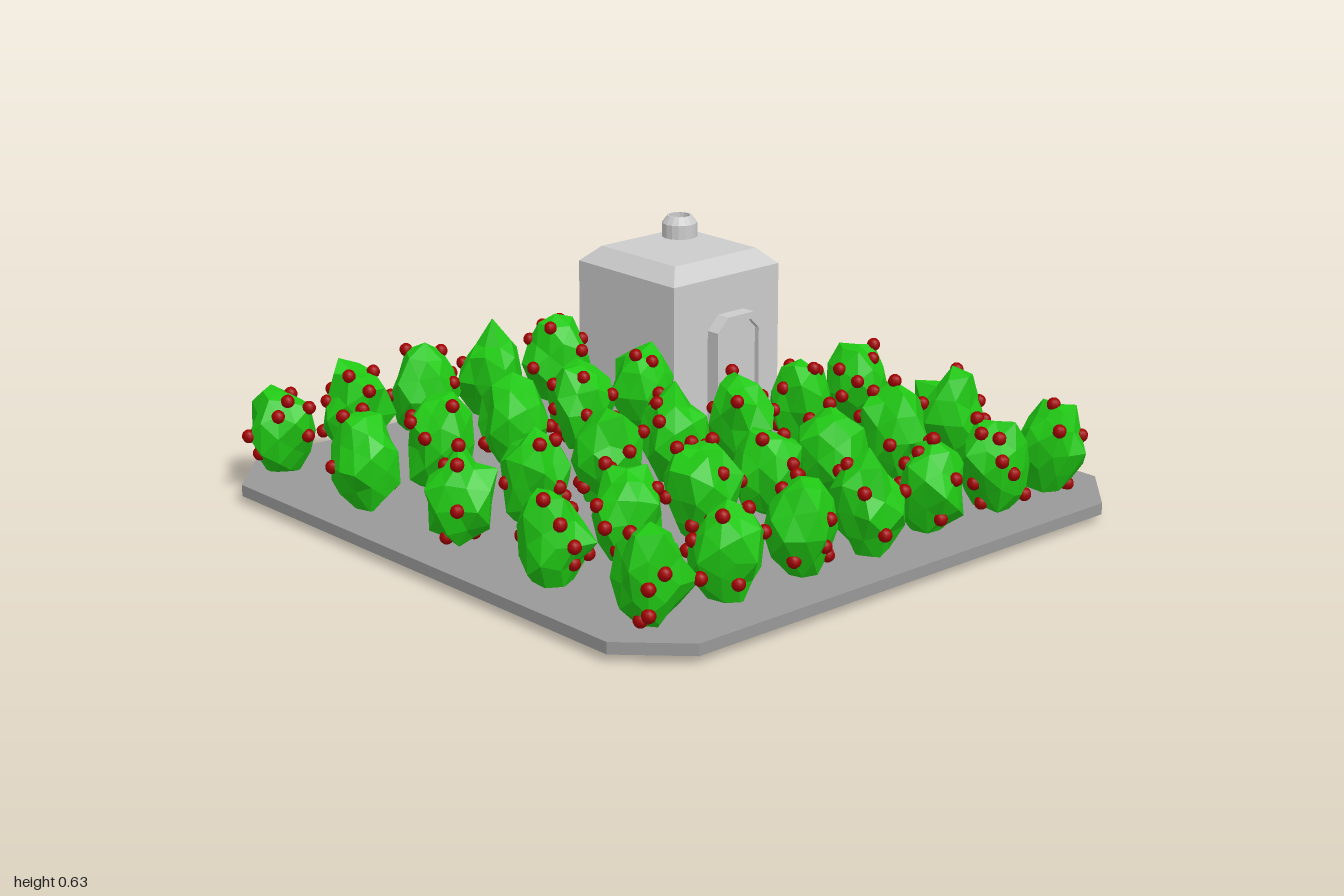
import * as THREE from 'three';
import { mergeVertices, mergeGeometries } from 'three/addons/utils/BufferGeometryUtils.js';

const grey = new THREE.MeshStandardMaterial({ color: 0xcccccc, flatShading: true });
const darkGrey = new THREE.MeshStandardMaterial({ color: 0x999999, flatShading: true });
const green = new THREE.MeshStandardMaterial({ color: 0x20c814, flatShading: true });
const red = new THREE.MeshStandardMaterial({ color: 0xa00000 });

const BASE = 0.06, GROUND = 0.095;

function seeded(seed) {
  let s = seed;
  return () => {
    s = (s * 1664525 + 1013904223) % 4294967296;
    return s / 4294967296;
  };
}

function add(parent, name, geometry, material) {
  const mesh = new THREE.Mesh(geometry, material);
  mesh.name = name;
  parent.add(mesh);
  return mesh;
}

const polygon = (pts) => new THREE.Shape(pts.map(([x, y]) => new THREE.Vector2(x, y)));

const extrude = (shape, depth) => new THREE.ExtrudeGeometry(shape, { depth, bevelEnabled: false });

// Square slab with cut corners
function buildGround(parent) {
  const shape = polygon([
    [-0.83, -0.975], [0.83, -0.975], [1, -0.805], [1, 0.805],
    [0.83, 0.975], [-0.83, 0.975], [-1, 0.805], [-1, -0.805],
  ]);
  const slab = extrude(shape, GROUND - BASE).rotateX(-Math.PI / 2).translate(0, BASE, 0);
  add(parent, 'groundSlab', slab, darkGrey);

  // Planting bed visible on the underside, turned to face down
  const bed = polygon([[-0.86, 0.8], [-0.86, -0.28], [0, -0.28], [0, -0.8], [0.81, -0.8], [0.81, 0.8]]);
  const bedGeometry = new THREE.ShapeGeometry(bed).rotateX(Math.PI / 2).translate(0, BASE - 0.001, 0);
  add(parent, 'plantingBed', bedGeometry, grey);
}

// Square frustum: a four-sided cylinder turned to line up with the axes
function frustum(topWidth, bottomWidth, height) {
  return new THREE.CylinderGeometry(topWidth / Math.SQRT2, bottomWidth / Math.SQRT2, height, 4)
    .rotateY(Math.PI / 4);
}

function buildShed(parent) {
  const shed = new THREE.Group();
  shed.name = 'shed';
  shed.position.set(-0.602, 0, -0.582);
  parent.add(shed);

  const wallTop = 0.55, width = 0.455, floor = BASE - 0.002;
  add(shed, 'walls', new THREE.BoxGeometry(width, wallTop - floor, width), grey)
    .position.y = (wallTop + floor) / 2;
  add(shed, 'roof', frustum(0.35, width, 0.05), grey).position.y = wallTop + 0.025;

  // Hollow vent pipe with a chamfered lip
  const profile = [[0.058, 0], [0.058, 0.048], [0.04, 0.072], [0.034, 0.072], [0.034, 0.045], [0, 0.045]];
  const vent = new THREE.Group();
  vent.name = 'roofVent';
  vent.position.set(-0.103, 0.598, -0.098);
  shed.add(vent);
  add(vent, 'ventPipe', new THREE.LatheGeometry(profile.map(([r, y]) => new THREE.Vector2(r, y)), 16), grey);
  for (let i = -2; i <= 2; i++) {
    const length = 2 * Math.sqrt(0.034 ** 2 - (i * 0.012) ** 2);
    add(vent, 'ventSlat', new THREE.BoxGeometry(length, 0.008, 0.005), grey).position.set(0, 0.054, i * 0.012);
  }

  // Doorway on the left wall: arched frame with a recessed panel
  const arch = (half, top, cut) => [
    [-half, BASE + 0.01], [half, BASE + 0.01], [half, top - cut], [half - cut, top], [cut - half, top], [-half, top - cut],
  ];
  const frameShape = polygon(arch(0.1, 0.428, 0.045));
  frameShape.holes.push(polygon(arch(0.078, 0.405, 0.035)));
  const door = new THREE.Group();
  door.name = 'doorway';
  door.position.set(width / 2, 0, -0.018);
  door.rotation.y = Math.PI / 2;
  shed.add(door);
  add(door, 'doorFrame', extrude(frameShape, 0.048), grey);
  add(door, 'doorPanel', extrude(polygon(arch(0.08, 0.407, 0.035)), 0.03), grey);
}

// Jagged faceted bush with berries sitting on its corners
function buildBush(parent, x, z, seed) {
  const random = seeded(seed * 7919 + 13);
  for (let i = 0; i < 5; i++) random();
  const bush = new THREE.Group();
  bush.name = 'berryBush';
  bush.position.set(x, 0, z);
  bush.rotation.y = random() * Math.PI * 2;
  parent.add(bush);

  let foliage = new THREE.IcosahedronGeometry(1, 1);
  foliage.deleteAttribute('normal');
  foliage.deleteAttribute('uv');
  foliage = mergeVertices(foliage, 1e-3);
  const p = foliage.attributes.position;
  const v = new THREE.Vector3();
  const spots = [];
  for (let i = 0; i < p.count; i++) {
    const spike = random() < 0.08 ? 0.2 : 0;
    v.fromBufferAttribute(p, i).multiplyScalar(0.8 + random() * 0.32 + spike);
    const taper = 0.104 * (v.y < 0 ? 1 + 0.15 * v.y : 1);
    v.set(v.x * taper, Math.max(0, 0.22 + v.y * 0.152), v.z * taper);
    p.setXYZ(i, v.x, v.y, v.z);
    if (v.y > 0.1) spots.push(v.clone());
  }
  foliage.computeVertexNormals();
  add(bush, 'foliage', foliage, green);

  const berries = [];
  for (let i = 0; i < 8; i++) {
    const [spot] = spots.splice(Math.floor(random() * spots.length), 1);
    berries.push(new THREE.SphereGeometry(0.021, 10, 7).translate(spot.x * 0.98, spot.y, spot.z * 0.98));
  }
  add(bush, 'berries', mergeGeometries(berries), red);
}

export function createModel() {
  const model = new THREE.Group();
  model.name = 'berryFarm';
  buildGround(model);
  buildShed(model);

  // Rows of bushes, leaving the shed corner free
  const columns = [-0.865, -0.435, 0, 0.4, 0.805];
  const rows = [-0.8, -0.545, -0.28, -0.02, 0.25, 0.525, 0.8];
  rows.forEach((z, r) => columns.forEach((x, c) => {
    if (r < 2 && c < 2) return;
    buildBush(model, x, z, r * columns.length + c + 1);
  }));
  return model;
}
